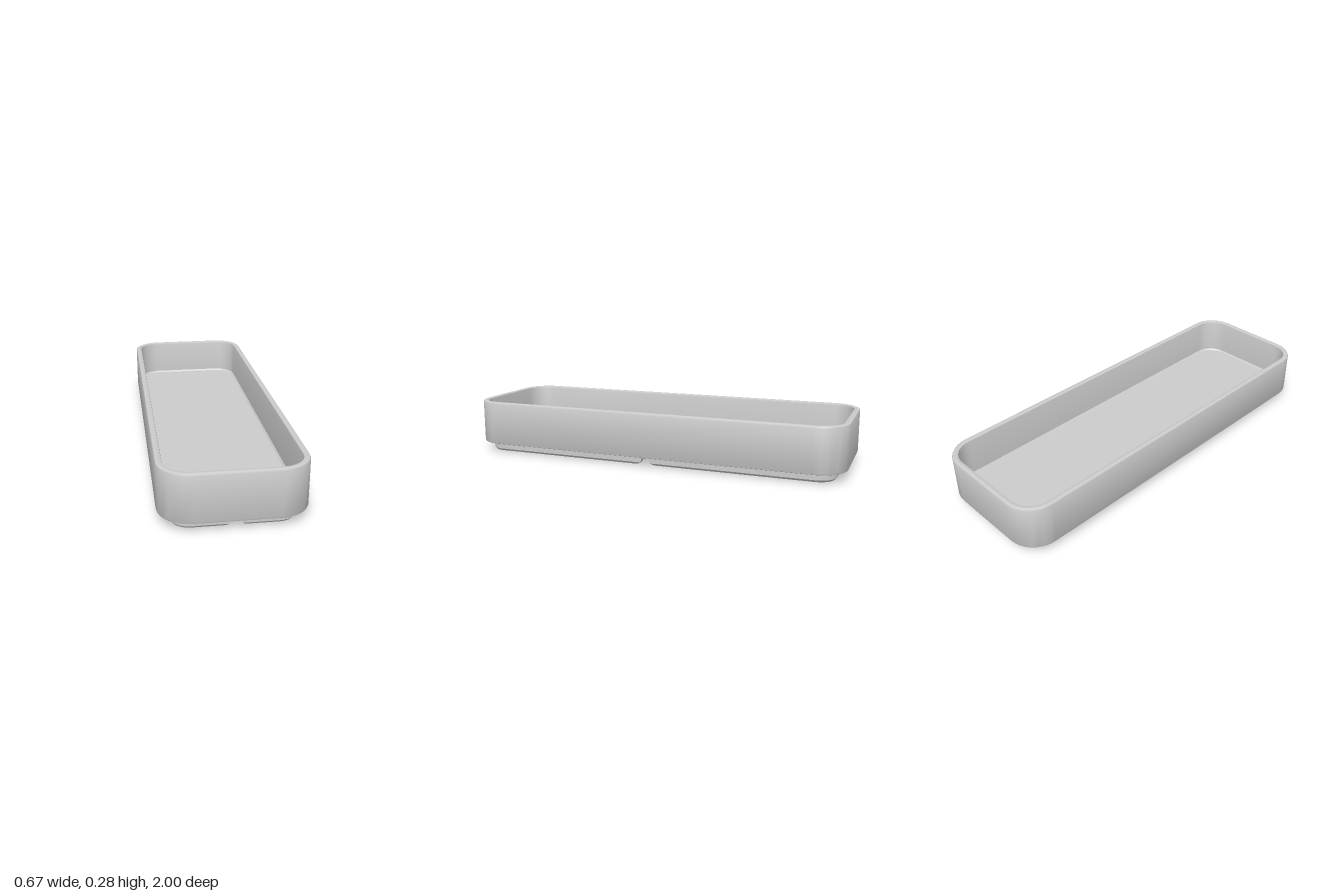
import * as THREE from 'three';
import { toCreasedNormals } from 'three/addons/utils/BufferGeometryUtils.js';

// Corner arc centres shared by every rounded outline of the tray
const CORE_X = 0.19, CORE_Z = 0.857, ARC = 8;

const material = new THREE.MeshStandardMaterial({ color: 0xcccccc });

// Turns a grid of points (rows x columns) into triangles, skipping collapsed ones
function addGrid(out, rows) {
  const tri = (a, b, c) => {
    const area = b.clone().sub(a).cross(c.clone().sub(a)).length();
    if (area > 1e-9) for (const p of [a, b, c]) out.push(p.x, p.y, p.z);
  };
  for (let i = 0; i < rows.length - 1; i++) {
    for (let j = 0; j < rows[i].length - 1; j++) {
      const a = rows[i][j], b = rows[i + 1][j], c = rows[i + 1][j + 1], d = rows[i][j + 1];
      tri(a, b, d);
      tri(b, c, d);
    }
  }
}

function makeMesh(name, positions) {
  const geometry = new THREE.BufferGeometry();
  geometry.setAttribute('position', new THREE.Float32BufferAttribute(positions, 3));
  const mesh = new THREE.Mesh(toCreasedNormals(geometry, 0.6), material);
  mesh.name = name;
  return mesh;
}

// Rounded corner number k (0..3) at offset r from the arc centre
function cornerArc(k, r, y) {
  const sx = k === 0 || k === 3 ? 1 : -1, sz = k < 2 ? 1 : -1;
  return Array.from({ length: ARC + 1 }, (_, i) => {
    const a = (k + i / ARC) * Math.PI / 2;
    return new THREE.Vector3(sx * CORE_X + r * Math.cos(a), y, sz * CORE_Z + r * Math.sin(a));
  });
}

function outline(r, y) {
  const points = [0, 1, 2, 3].flatMap(k => cornerArc(k, r, y));
  return [...points, points[0]];
}

// Open tray: underside, outer wall, rim, inner wall and floor in one sweep
function createTray() {
  const profile = [
    [0.133, 0.047], [0.140, 0.050], [0.143, 0.057],
    [0.143, 0.268], [0.140, 0.275], [0.133, 0.278],
    [0.121, 0.278], [0.114, 0.275], [0.112, 0.268],
    [0.110, 0.088], [0.102, 0.080],
  ];
  const rows = profile.map(([r, y]) => outline(r, y));
  const centre = y => rows[0].map(() => new THREE.Vector3(0, y, 0));
  const positions = [];
  addGrid(positions, [centre(0.047), ...rows, centre(0.080)]);
  return makeMesh('tray', positions);
}

// Foot ridge levels, bottom to top: y, inner offset, outer offset, notch half width
const FOOT_LEVELS = [
  [0, 0.068, 0.083, 0.050],
  [0.004, 0.063, 0.087, 0.037],
  [0.011, 0.060, 0.093, 0.029],
  [0.022, 0.060, 0.093, 0.023],
  [0.036, 0.060, 0.093, 0.019],
  [0.047, 0.060, 0.110, 0.011],
];

// One L-shaped quarter of the foot ridge, ending in curved notches
function createFoot(k) {
  const sx = k === 0 || k === 3 ? 1 : -1, sz = k < 2 ? 1 : -1;
  const path = (r, y, gap) => {
    const alongX = new THREE.Vector3(sx * (CORE_X + r), y, sz * gap);
    const alongZ = new THREE.Vector3(sx * gap, y, sz * (CORE_Z + r));
    const ends = k % 2 ? [alongZ, alongX] : [alongX, alongZ];
    return [ends[0], ...cornerArc(k, r, y), ends[1]];
  };
  const inner = FOOT_LEVELS.map(([y, r, , gap]) => path(r, y, gap));
  const outer = FOOT_LEVELS.map(([y, , r, gap]) => path(r, y, gap));
  const last = inner[0].length - 1;
  const positions = [];
  addGrid(positions, [...inner.slice().reverse(), ...outer]);
  // End faces
  addGrid(positions, inner.map((row, i) => [row[0], outer[i][0]]));
  addGrid(positions, inner.map((row, i) => [outer[i][last], row[last]]));
  return makeMesh('foot', positions);
}

export function createModel() {
  const group = new THREE.Group();
  group.name = 'storageTray';
  group.add(createTray());
  const names = ['frontLeftFoot', 'frontRightFoot', 'backRightFoot', 'backLeftFoot'];
  names.forEach((name, k) => {
    const foot = createFoot(k);
    foot.name = name;
    group.add(foot);
  });
  return group;
}
